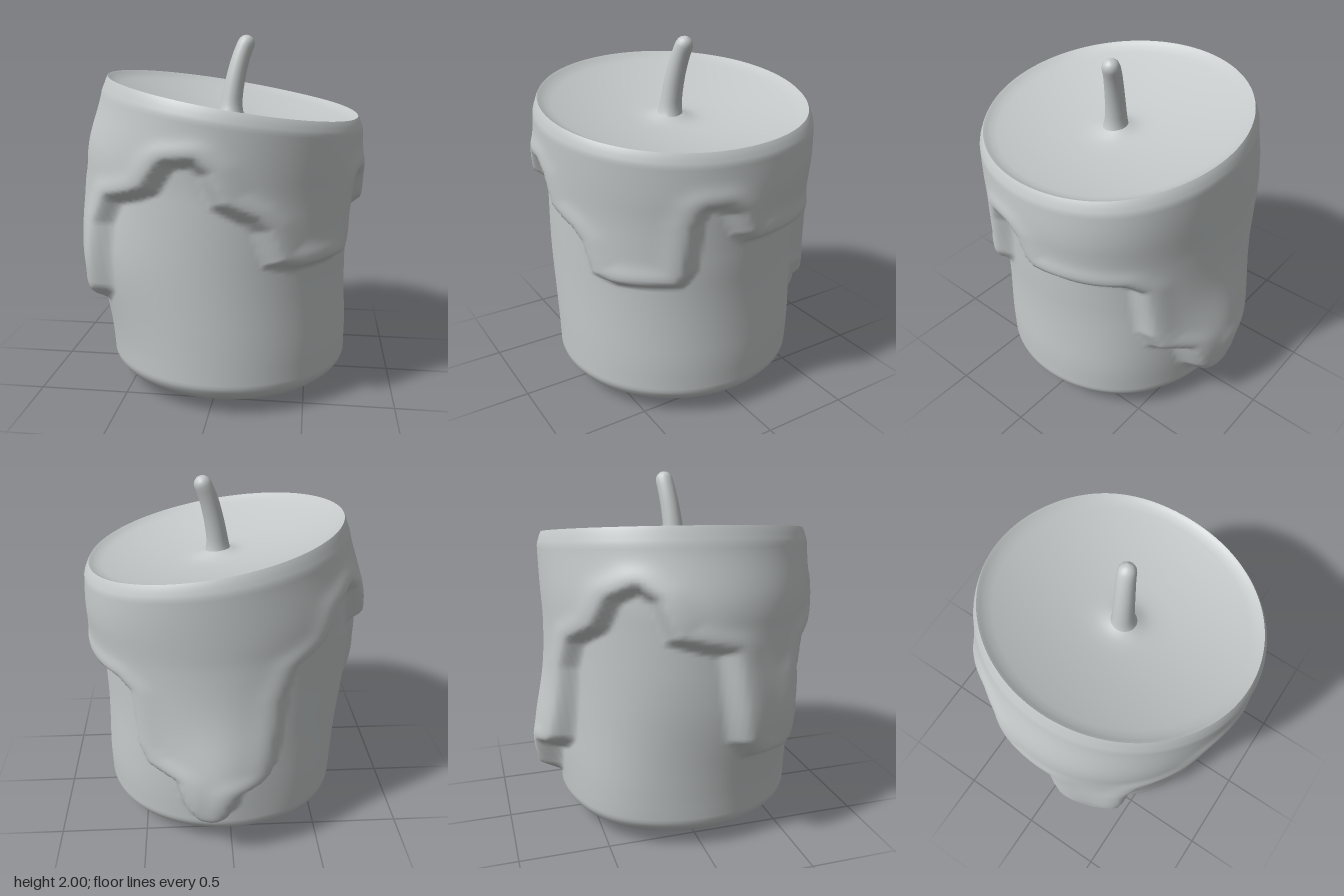
import * as THREE from 'three';

const TAU = Math.PI * 2;
const smooth = THREE.MathUtils.smoothstep;

// Closed ring grid: point(row, angle) -> [x, y, z], rows listed bottom to top
function ringGrid(rows, cols, point) {
  const pos = [], idx = [];
  rows.forEach(row => {
    for (let j = 0; j < cols; j++) pos.push(...point(row, j / cols * TAU));
  });
  for (let i = 0; i < rows.length - 1; i++) {
    for (let j = 0; j < cols; j++) {
      const k = (j + 1) % cols, a = i * cols, b = a + cols;
      idx.push(a + j, b + j, a + k, a + k, b + j, b + k);
    }
  }
  const g = new THREE.BufferGeometry();
  g.setAttribute('position', new THREE.Float32BufferAttribute(pos, 3));
  g.setIndex(idx);
  g.computeVertexNormals();
  return g;
}

// Smoothed lookup in a table of [s, value] pairs
function lookup(table, s) {
  for (let i = 1; i < table.length; i++) {
    const [s0, v0] = table[i - 1], [s1, v1] = table[i];
    if (s <= s1) return v0 + (v1 - v0) * smooth(s, s0, s1);
  }
  return table[table.length - 1][1];
}

// Lower edge of the melted wax: [degrees, height], going round from the left side
const drip = [
  [-2, 1.04], [3, 1.09], [7, 1.21], [11, 1.25], [17, 1.25], [20, 1.17], [23, .9], [27, .83], [54, .82], [65, .85],
  [70, 1.03], [74, 1.08], [87, 1.16], [92, 1.32], [97, 1.37], [106, 1.36], [113, 1.22], [121, 1.18],
  [134, 1.14], [140, 1.0], [143, .62], [149, .55], [165, .56], [172, .66], [177, 1.16], [199, 1.23],
  [205, 1.43], [211, 1.48], [221, 1.42], [228, 1.26], [242, 1.16], [247, 1.0], [251, .56], [256, .5],
  [264, .46], [268, .29], [274, .24], [283, .25], [288, .33], [293, .5], [306, .56], [311, .67],
  [314, .99], [319, 1.03], [358, 1.04],
];
// Angles count for less than heights, so upright edges come out softer
const ARC = .52 * Math.PI / 180;

// Signed distance from the drip edge, positive inside the wax
function dripDistance(deg, y) {
  let best = 9, edge = 1;
  for (let i = 1; i < drip.length; i++) {
    const [a0, y0] = drip[i - 1], [a1, y1] = drip[i];
    if (deg >= a0 && deg <= a1) edge = y0 + (y1 - y0) * (deg - a0) / (a1 - a0);
    for (const turn of [-360, 0, 360]) {
      const px = (deg + turn - a0) * ARC, py = y - y0, dx = (a1 - a0) * ARC, dy = y1 - y0;
      const t = THREE.MathUtils.clamp((px * dx + py * dy) / (dx * dx + dy * dy), 0, 1);
      best = Math.min(best, Math.hypot(px - t * dx, py - t * dy));
    }
  }
  return y > edge ? best : -best;
}

// Core shape by height fraction: centre and radii
const centreX = [[0, .037], [.15, .035], [.5, .01], [.75, .01], [1, .055]];
const radiusX = [[0, .69], [.25, .695], [.6, .71], [.8, .715], [1, .688]];
const radiusZ = [[0, .69], [.3, .695], [.7, .70], [1, .735]];
const CZ = .035, TOP = 1.67, TILT_X = .12, TILT_Z = .025;

// Soft swellings: [degrees, spread, height, spread, core amount, wax amount]
const swellings = [
  [152, 29, .75, .38, .052, .012], // side run
  [188, 30, 1.1, .35, .018, 0],    // upper side
  [271, 19, .5, .34, .02, .065],   // back run
  [322, 28, 1.4, .35, .03, 0],     // upper back corner
  [315, 30, .5, .5, .025, 0],      // lower back corners
  [225, 27, .3, .4, .035, 0],
];

function bodyPoint({ s, k, y: fixedY }, a) {
  const deg = a * 360 / TAU;
  const y = fixedY ?? s * TOP - (TILT_X * Math.cos(a) + TILT_Z * Math.sin(a)) * s * s;
  const d = dripDistance(deg, y);
  const inside = smooth(d, -.028, .038);
  let wax = .07 * (1 - .35 * smooth(s, .75, 1)) + .012 * Math.exp(-(((d - .065) / .05) ** 2));
  let core = -.012 * smooth(s, .955, .985) - .018 * smooth(s, .98, 1.01);
  for (const [a0, sa, y0, sy, c, w] of swellings) {
    const da = ((deg - a0 + 540) % 360) - 180;
    const f = Math.exp(-((da / sa) ** 2) - ((y - y0) / sy) ** 2);
    core += c * f;
    wax += w * f;
  }
  const extra = core + wax * inside;
  return [
    lookup(centreX, s) + (lookup(radiusX, s) + extra) * k * Math.cos(a),
    y,
    CZ + (lookup(radiusZ, s) + extra) * k * Math.sin(a),
  ];
}

export function createModel() {
  const group = new THREE.Group();
  group.name = 'candle';
  const waxGrey = new THREE.MeshStandardMaterial({ color: 0xc4c8c8 });
  waxGrey.name = 'wax grey';
  const add = (geometry, name) => {
    const m = new THREE.Mesh(geometry, waxGrey);
    m.name = name;
    group.add(m);
  };

  // Underside and side wall with the melted wax layer
  const under = [[0, 0], [.3, .012], [.6, .025], [.8, .045], [.9, .075], [.96, .11], [.99, .14]]
    .map(([k, y]) => ({ s: y / TOP, k, y }));
  const wall = [];
  const s0 = .165 / TOP, N = 80, COLS = 180;
  for (let i = 0; i <= N; i++) wall.push({ s: s0 + (1 - s0) * i / N, k: 1 });
  add(ringGrid([...under, ...wall], COLS, bodyPoint), 'waxBody');

  // Dished top with a small rise around the wick
  const bowlRows = [1, .98, .95, .9, .82, .72, .6, .48, .36, .28, .22, .18, .15, .12, .09, .06, 0];
  add(ringGrid(bowlRows, COLS, (q, a) => {
    const [x, y, z] = bodyPoint({ s: 1, k: 1 }, a);
    const dish = .12 * (1 - q * q) + .012 * smooth(1 - q, 0, .06);
    const rise = .05 * Math.exp(-((q / .13) ** 2));
    return [.05 + (x - .05) * q, TOP + (y - TOP) * q - dish + rise, .045 + (z - .045) * q];
  }), 'meltedTop');

  // Curved wick, flared at the foot and rounded at the tip
  const path = new THREE.CatmullRomCurve3([
    [.04, 1.52, .05], [.05, 1.65, .042], [.075, 1.79, .03], [.105, 1.9, .015], [.145, 1.993, 0],
  ].map(p => new THREE.Vector3(...p)));
  const wickRows = [0, .06, .12, .18, .25, .35, .45, .55, .65, .75, .84, .9, .94, .97, .99, 1];
  add(ringGrid(wickRows, 20, (t, a) => {
    const c = path.getPointAt(t), dir = path.getTangentAt(t);
    const u = new THREE.Vector3(1, 0, 0).addScaledVector(dir, -dir.x).normalize();
    const v = new THREE.Vector3().crossVectors(u, dir);
    const tip = t > .9 ? Math.sqrt(Math.max(0, 1 - ((t - .9) / .1) ** 2)) : 1;
    const r = (.062 - .014 * t + .035 * Math.exp(-t / .08)) * tip;
    c.addScaledVector(u, r * Math.cos(a)).addScaledVector(v, r * Math.sin(a));
    return [c.x, c.y, c.z];
  }), 'wick');

  return group;
}
